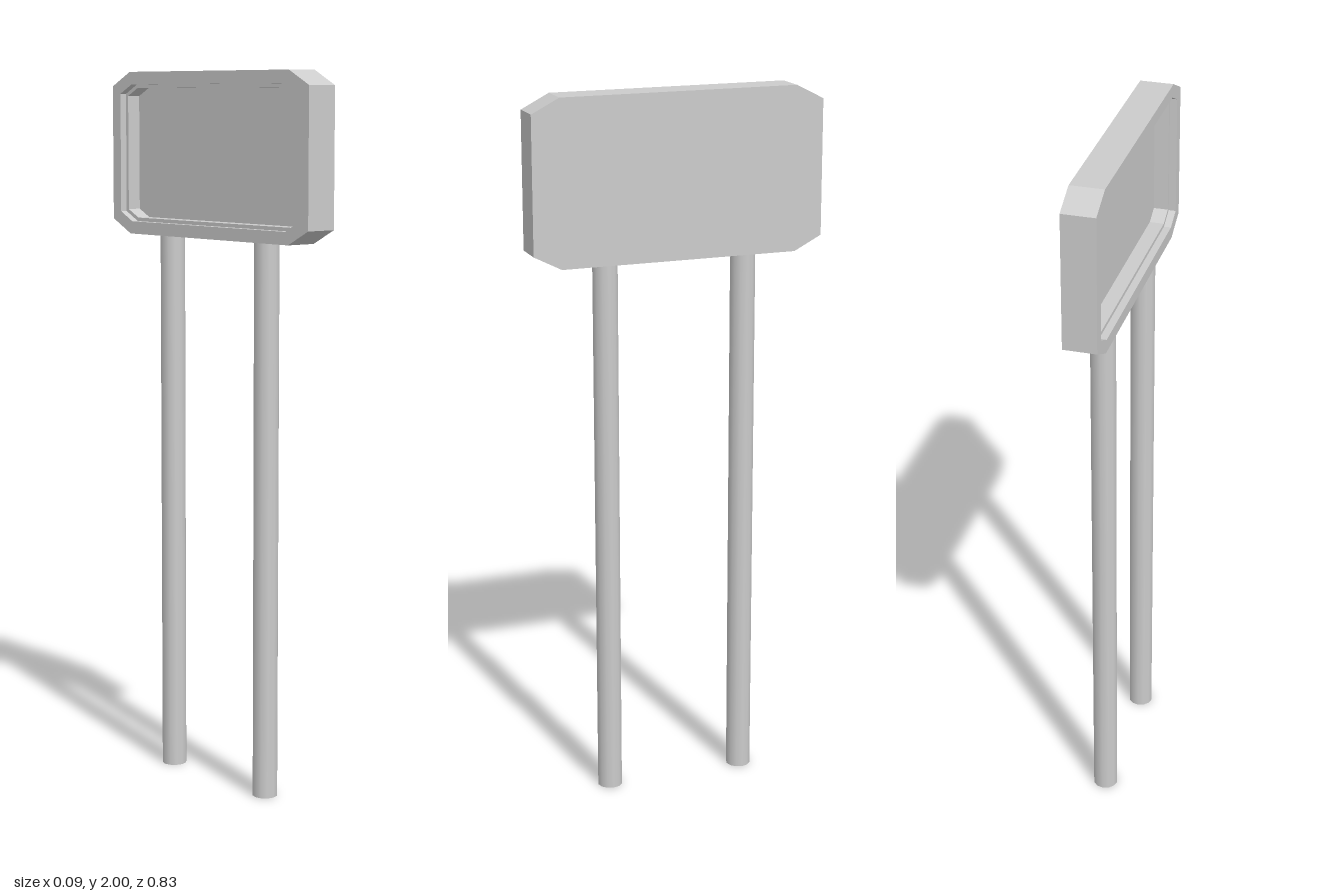
import * as THREE from 'three';

const HALF_Z = 0.413, HALF_Y = 0.228, MID_Y = 1.772, HALF_X = 0.046;
const CUT_Z = 0.078, CUT_Y = 0.04;

// Chamfered rectangle at depth x, offset inward by d, anticlockwise seen from +x
function outline(x, d) {
  const len = Math.hypot(CUT_Z, CUT_Y);
  const nz = CUT_Y / len, ny = CUT_Z / len; // normal of the corner cut
  const w = HALF_Z - d, h = HALF_Y - d;
  const a = HALF_Z - CUT_Z - d * (1 - ny) / nz; // end of the level edges
  const b = HALF_Y - CUT_Y - d * (1 - nz) / ny; // end of the upright edges
  return [[w, -b], [w, b], [a, h], [-a, h], [-w, b], [-w, -b], [-a, -h], [a, -h]]
    .map(([u, v]) => new THREE.Vector3(x, MID_Y + v, -u));
}

// Joins the outlines in order and closes both ends, with flat faces
function loftGeometry(rings) {
  const points = [];
  const cap = (ring, flip) => {
    for (let i = 1; i < ring.length - 1; i++) {
      points.push(ring[0], ...(flip ? [ring[i + 1], ring[i]] : [ring[i], ring[i + 1]]));
    }
  };
  cap(rings[0], false);
  for (let r = 0; r < rings.length - 1; r++) {
    const A = rings[r], B = rings[r + 1];
    for (let i = 0; i < A.length; i++) {
      const j = (i + 1) % A.length;
      points.push(A[i], B[i], B[j], A[i], B[j], A[j]);
    }
  }
  cap(rings[rings.length - 1], true);
  const geometry = new THREE.BufferGeometry().setFromPoints(points);
  geometry.computeVertexNormals();
  return geometry;
}

export function createModel() {
  const group = new THREE.Group();
  const material = new THREE.MeshStandardMaterial({ color: 0xcccccc });
  const tubeMaterial = new THREE.MeshStandardMaterial({ color: 0xcccccc, side: THREE.DoubleSide });

  // Sign board: flat on +x, stepped recess on -x
  const board = new THREE.Mesh(loftGeometry([
    outline(HALF_X, 0),
    outline(-HALF_X, 0),
    outline(-HALF_X, 0.035),
    outline(-HALF_X + 0.02, 0.035),
    outline(-HALF_X + 0.02, 0.045),
    outline(-HALF_X + 0.06, 0.045),
  ]), material);
  board.name = 'signBoard';
  group.add(board);

  // Two open tubular posts
  const postHeight = MID_Y - HALF_Y;
  const postGeometry = new THREE.CylinderGeometry(0.035, 0.035, postHeight, 12, 1, true);
  for (const [name, z] of [['frontPost', 0.2], ['backPost', -0.2]]) {
    const post = new THREE.Mesh(postGeometry, tubeMaterial);
    post.name = name;
    post.position.set(0, postHeight / 2, z);
    group.add(post);
  }
  return group;
}
